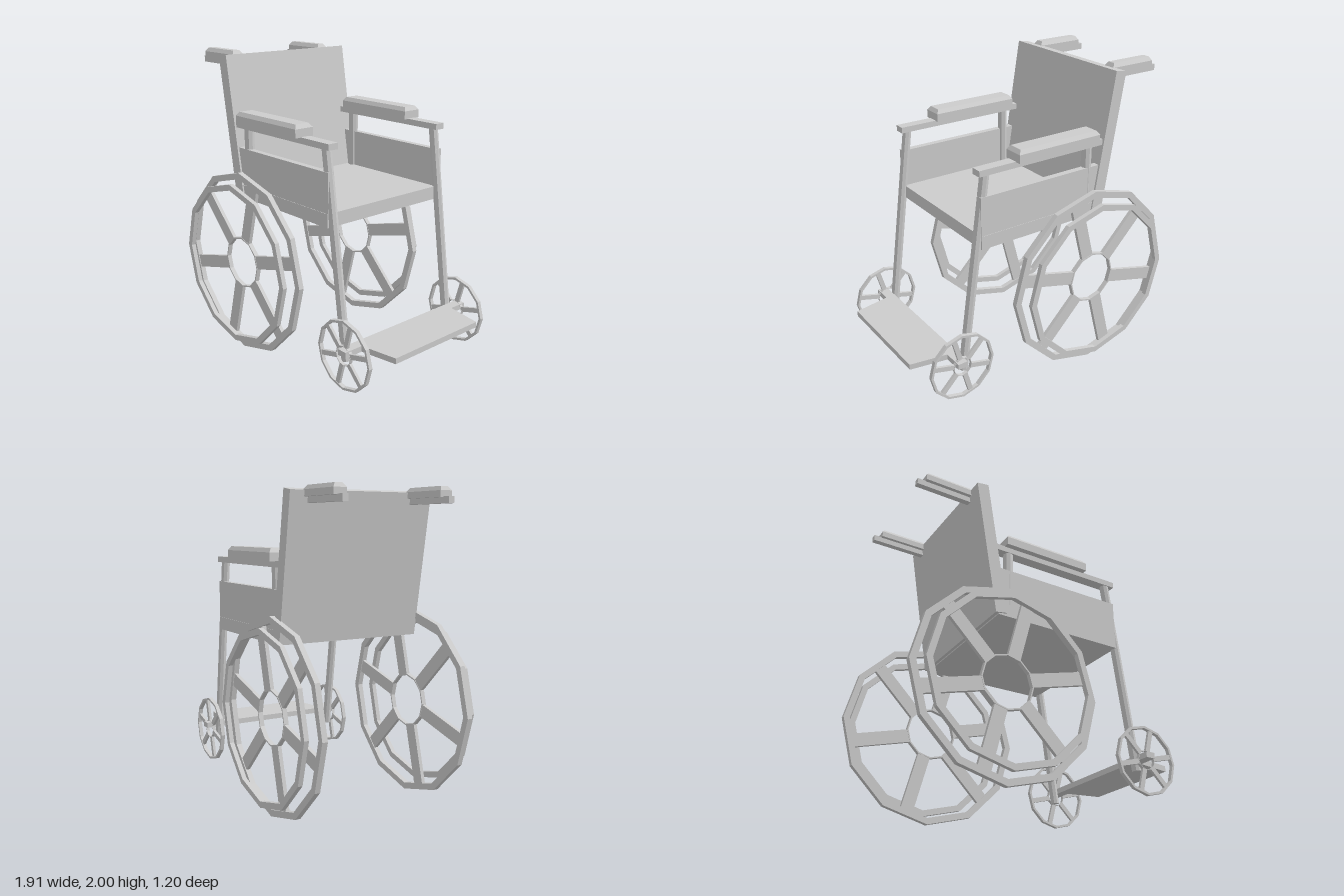
import * as THREE from 'three';

const mat = new THREE.MeshStandardMaterial({ color: 0xcccccc, flatShading: true });

function part(parent, name, geometry, x = 0, y = 0, z = 0) {
  const mesh = new THREE.Mesh(geometry, mat);
  mesh.name = name;
  mesh.position.set(x, y, z);
  parent.add(mesh);
  return mesh;
}

// Box given by its minimum and maximum on each axis
function block(parent, name, x0, x1, y0, y1, z0, z1) {
  return part(parent, name, new THREE.BoxGeometry(x1 - x0, y1 - y0, z1 - z0),
    (x0 + x1) / 2, (y0 + y1) / 2, (z0 + z1) / 2);
}

// Box whose top edges are bevelled
function paddedBlock(parent, name, x0, x1, y0, y1, z0, z1, inset = 0.018, drop = 0.025) {
  const w = x1 - x0, h = y1 - y0, d = z1 - z0;
  const geo = new THREE.BoxGeometry(w, h, d, 1, 2, 1);
  const p = geo.attributes.position;
  for (let i = 0; i < p.count; i++) {
    if (p.getY(i) > h / 4) {
      p.setX(i, Math.sign(p.getX(i)) * (w / 2 - inset));
      p.setZ(i, Math.sign(p.getZ(i)) * (d / 2 - inset));
    } else if (p.getY(i) > -h / 4) p.setY(i, h / 2 - drop);
  }
  geo.computeVertexNormals();
  return part(parent, name, geo, (x0 + x1) / 2, (y0 + y1) / 2, (z0 + z1) / 2);
}

// Octagonal rod between two points
function rod(parent, name, a, b, radius) {
  const dir = b.clone().sub(a);
  const mesh = part(parent, name, new THREE.CylinderGeometry(radius, radius, dir.length(), 8));
  mesh.position.copy(a).add(b).multiplyScalar(0.5);
  mesh.quaternion.setFromUnitVectors(new THREE.Vector3(0, 1, 0), dir.normalize());
  return mesh;
}

// Flat twelve-sided ring, centred on its thickness
function ring(outer, inner, depth) {
  const polygon = (r) => Array.from({ length: 12 }, (_, i) =>
    new THREE.Vector2(r * Math.cos(i * Math.PI / 6), r * Math.sin(i * Math.PI / 6)));
  const shape = new THREE.Shape(polygon(outer));
  shape.holes.push(new THREE.Path(polygon(inner)));
  return new THREE.ExtrudeGeometry(shape, { depth, bevelEnabled: false }).translate(0, 0, -depth / 2);
}

// Rim, open hub and six spokes
function spokedWheel(name, r, depth) {
  const wheel = new THREE.Group();
  wheel.name = name;
  part(wheel, 'rim', ring(r, r * 0.932, depth));
  part(wheel, 'hub', ring(r * 0.285, r * 0.27, depth * 0.85));
  const r0 = r * 0.275, r1 = r * 0.935;
  for (let i = 0; i < 6; i++) {
    const a = Math.PI / 12 + i * Math.PI / 3;
    const spoke = part(wheel, 'spoke', new THREE.BoxGeometry(r1 - r0, r * 0.14, depth * 0.7));
    spoke.position.set(Math.cos(a) * (r0 + r1) / 2, Math.sin(a) * (r0 + r1) / 2, 0);
    spoke.rotation.z = a;
  }
  return wheel;
}

export function createModel() {
  const chair = new THREE.Group();
  chair.name = 'wheelchair';

  // Seat and leaning backrest
  block(chair, 'seat', -0.385, 0.502, 1.07, 1.155, -0.485, 0.485);
  const back = part(chair, 'backrest', new THREE.BoxGeometry(0.08, 0.91, 0.99), -0.442, 1.53, 0);
  back.rotation.z = 0.16;

  // Footplate, tapering forwards
  const plate = new THREE.Shape([[0.65, -0.41], [0.715, -0.405], [0.955, -0.362],
    [0.955, 0.362], [0.715, 0.405], [0.65, 0.41]].map(([x, z]) => new THREE.Vector2(x, z)));
  const plateGeo = new THREE.ExtrudeGeometry(plate, { depth: 0.037, bevelEnabled: false });
  part(chair, 'footplate', plateGeo.rotateX(-Math.PI / 2), 0, 0.336, 0);

  // Everything that comes in pairs
  for (const s of [1, -1]) {
    const side = new THREE.Group();
    side.name = s > 0 ? 'positiveZSide' : 'negativeZSide';
    chair.add(side);
    const zr = (a, b) => (s > 0 ? [a, b] : [-b, -a]);
    const v = (x, y, z) => new THREE.Vector3(x, y, s * z);

    // Drive wheel with separate push rim
    const wheel = spokedWheel('driveWheel', 0.62, 0.035);
    wheel.position.set(-0.34, 0.623, s * 0.507);
    side.add(wheel);
    part(side, 'pushRim', ring(0.553, 0.513, 0.03), -0.34, 0.625, s * 0.583);

    // Small front wheel and its axle stub
    const caster = spokedWheel('caster', 0.225, 0.026);
    caster.position.set(0.668, 0.326, s * 0.5);
    side.add(caster);
    block(side, 'casterAxle', 0.65, 0.715, 0.336, 0.373, ...zr(0.4, 0.535));

    // Side panel, arm support posts and armrest
    block(side, 'sidePanel', -0.385, 0.502, 1.15, 1.4, ...zr(0.44, 0.482));
    rod(side, 'frontLeg', v(0.455, 1.54, 0.452), v(0.632, 0.262, 0.452), 0.029);
    rod(side, 'rearPost', v(-0.302, 1.54, 0.452), v(-0.302, 1.12, 0.452), 0.032);
    block(side, 'armBar', -0.4, 0.512, 1.53, 1.568, ...zr(0.415, 0.485));
    paddedBlock(side, 'armPad', -0.345, 0.26, 1.565, 1.643, ...zr(0.39, 0.522));

    // Push handle
    block(side, 'handleBar', -0.915, -0.5, 1.9, 1.94, ...zr(0.34, 0.378));
    paddedBlock(side, 'handleGrip', -0.865, -0.535, 1.936, 2.0, ...zr(0.318, 0.402));
  }
  return chair;
}
